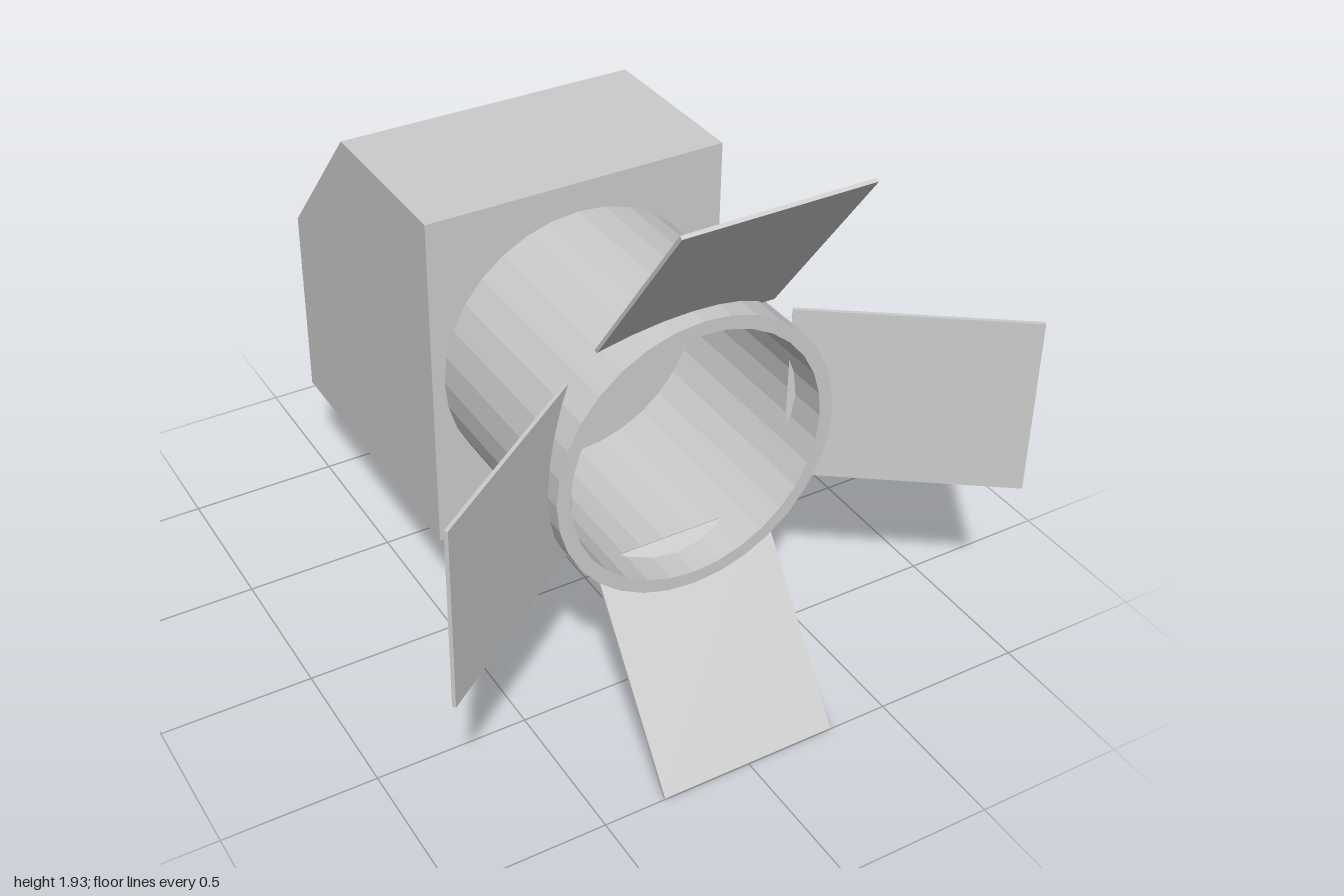
import * as THREE from 'three';

export function createModel() {
  const model = new THREE.Group();
  const grey = new THREE.MeshStandardMaterial({ color: 0xcccccc, flatShading: true });

  const add = (name, geometry, parent = model) => {
    const mesh = new THREE.Mesh(geometry, grey);
    mesh.name = name;
    parent.add(mesh);
    return mesh;
  };

  // Housing: side profile (z, y) with a sloped upper back, extruded across x
  const profile = new THREE.Shape([
    [0.015, 0.385], [0.015, 1.537], [-0.57, 1.537], [-1, 1.05], [-1, 0.385],
  ].map(([z, y]) => new THREE.Vector2(-z, y)));
  const housing = new THREE.ExtrudeGeometry(profile, { depth: 1.01, bevelEnabled: false });
  housing.rotateY(Math.PI / 2).translate(-0.535, 0, 0);
  add('housing', housing);

  // Barrel: open faceted tube with a thick wall, closed off by the housing face
  const outer = 0.464, inner = 0.42, back = 0.01, front = 0.71;
  const wall = [[inner, back], [outer, back], [outer, front], [inner, front], [inner, back]]
    .map(([r, z]) => new THREE.Vector2(r, z));
  const barrel = new THREE.LatheGeometry(wall, 32);
  barrel.rotateX(Math.PI / 2).translate(-0.03, 0.976, 0);
  add('barrel', barrel);

  // Four flaps flaring forward and outward around the barrel mouth
  const tilt = 0.625;
  const flaps = [
    ['topFlap', 0, 0.968, 0.785],
    ['rightFlap', Math.PI / 2, 0.977, 0.778],
    ['bottomFlap', Math.PI, 0.968, 0.785],
    ['leftFlap', -Math.PI / 2, 0.977, 0.778],
  ];
  for (const [name, turn, y, z] of flaps) {
    const flap = new THREE.BoxGeometry(0.595, 0.727, 0.012);
    flap.rotateX(tilt).translate(0, 0.668, 0);
    const mesh = add(name, flap);
    mesh.rotation.z = turn;
    mesh.position.set(0, y, z);
  }

  return model;
}
